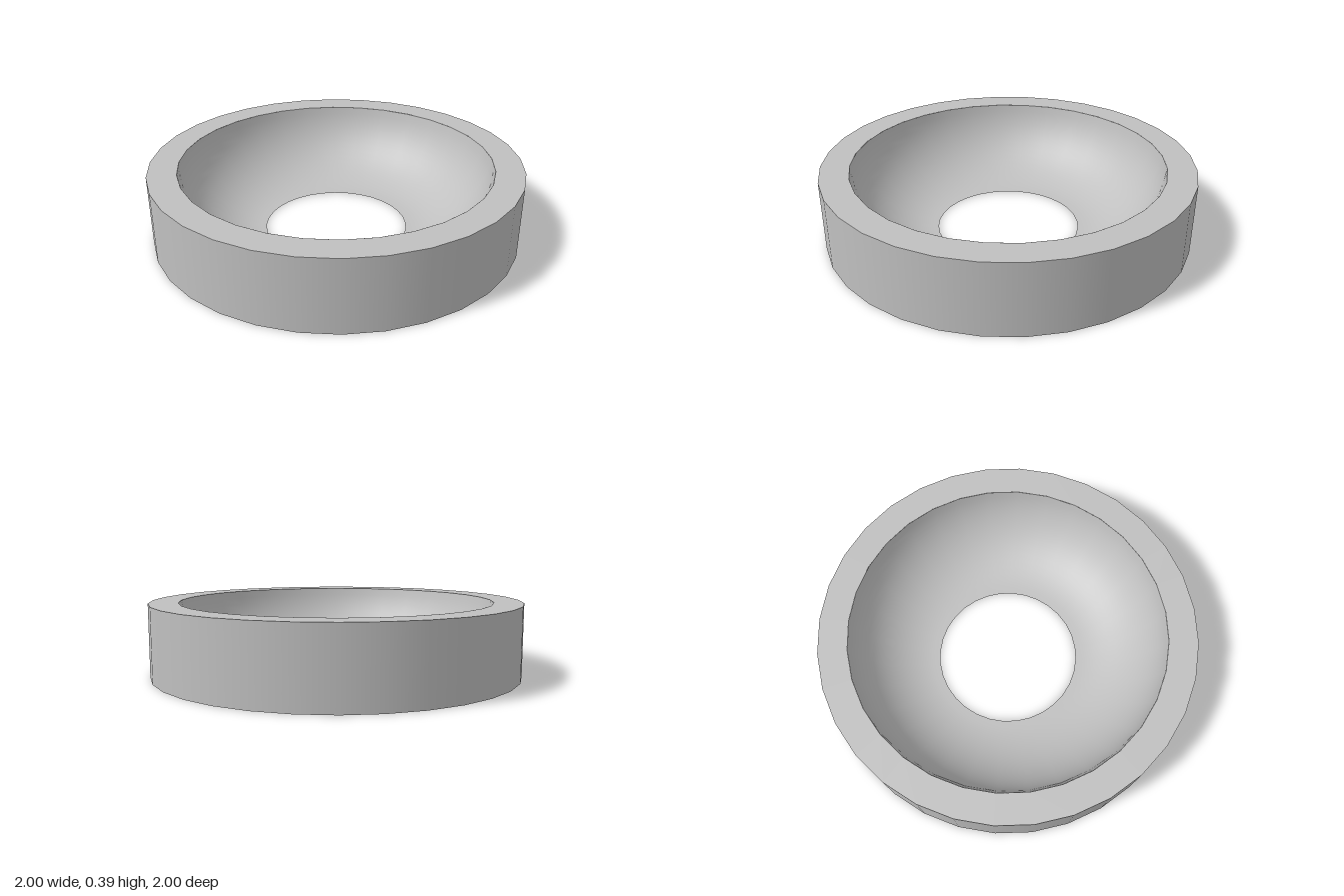
import * as THREE from 'three';

const SEGMENTS = 32;
const HEIGHT = 0.39;
const OUTER = 1;
const RIM = 0.845;   // inner radius of the flat rim
const HOLE = 0.39;   // radius of the central opening
const ARC = 0.46;    // radius of the curved seat section

export function createModel() {
  const group = new THREE.Group();
  group.name = 'cuppedRing';

  const grey = new THREE.MeshStandardMaterial({ color: 0xc0c0c0, side: THREE.DoubleSide });
  grey.name = 'plain grey';

  // Revolve a [radius, height] profile; separate parts keep their shared edges sharp
  function addRevolved(name, profile) {
    const points = profile.map(([r, y]) => new THREE.Vector2(r, y));
    const mesh = new THREE.Mesh(new THREE.LatheGeometry(points, SEGMENTS), grey);
    mesh.name = name;
    group.add(mesh);
  }

  // Outer wall, open underneath
  addRevolved('outerWall', [[OUTER, 0], [OUTER, HEIGHT]]);

  // Flat top rim
  addRevolved('topRim', [[OUTER, HEIGHT], [RIM, HEIGHT]]);

  // Thin curved seat, steep at the rim and level at the hole
  const steps = 16;
  const sweep = Math.acos((ARC - HEIGHT) / ARC);
  const seat = [];
  for (let i = 0; i <= steps; i++) {
    const a = sweep * (1 - i / steps);
    seat.push([HOLE + ARC * Math.sin(a), ARC - ARC * Math.cos(a)]);
  }
  addRevolved('curvedSeat', seat);

  return group;
}
